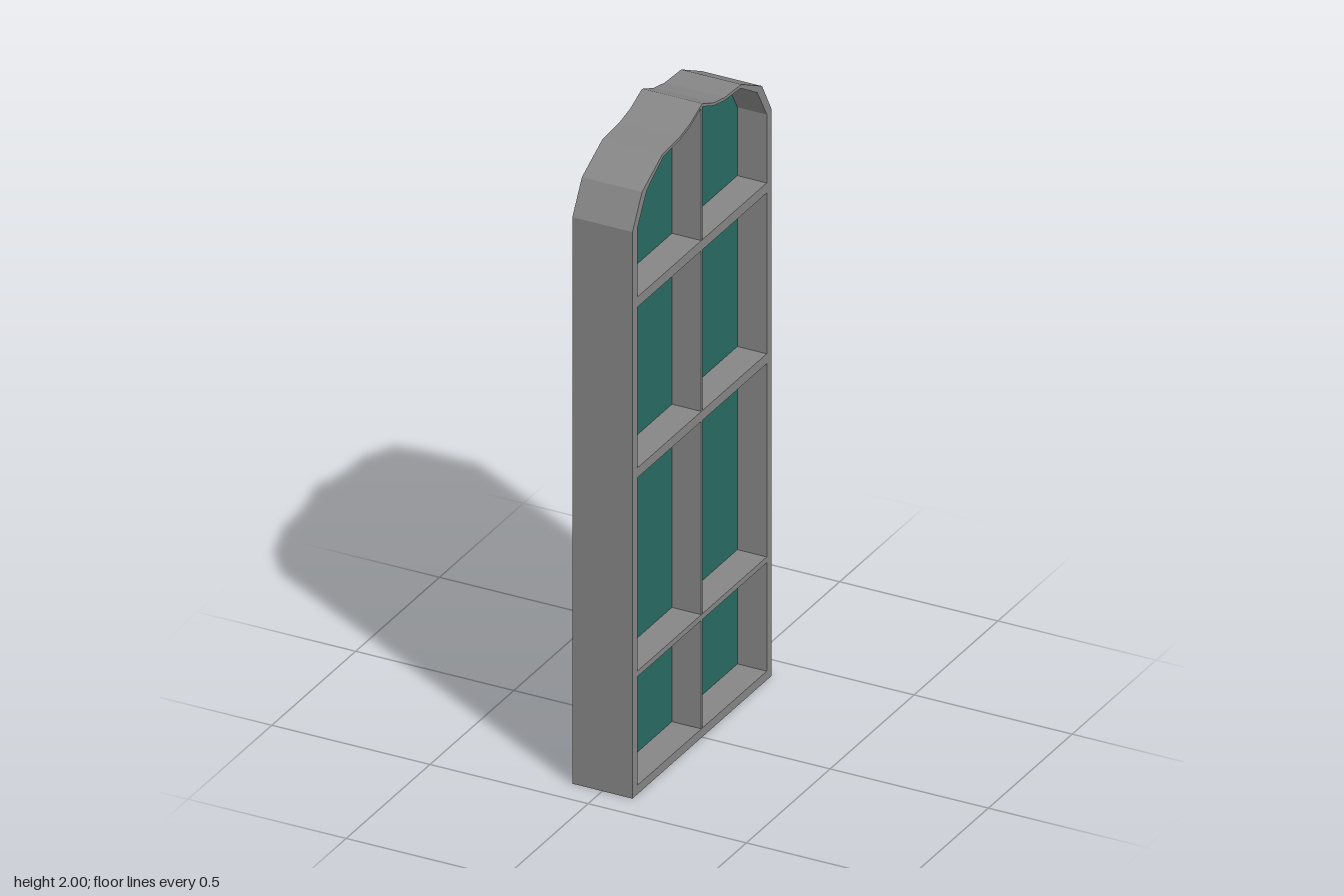
import * as THREE from 'three';

const DEPTH = 0.19;

// Half profiles of the arched top, from the centre peak to the spring line: [z, y]
const OUTER = [[0, 2], [0.006, 1.999], [0.07, 1.972], [0.135, 1.958], [0.235, 1.953], [0.358, 1.89], [0.415, 1.79]];
const INNER = [[0, 1.991], [0.006, 1.99], [0.07, 1.963], [0.135, 1.949], [0.23, 1.943], [0.33, 1.882], [0.386, 1.787]];

// Closed mirrored outline, straight down to the given bottom
function outline(half, bottom) {
  const w = half[half.length - 1][0];
  const right = [...half, [w, bottom]];
  const left = right.slice(1).reverse().map(([z, y]) => [-z, y]);
  return [...right, ...left].map(([z, y]) => new THREE.Vector2(z, y));
}

// Extrude a z-y outline along x, centred on x = 0
function slab(shape, depth) {
  const geometry = new THREE.ExtrudeGeometry(shape, { depth, bevelEnabled: false });
  return geometry.translate(0, 0, -depth / 2).rotateY(Math.PI / 2);
}

export function createModel() {
  const frameGrey = new THREE.MeshStandardMaterial({ color: 0x868686, flatShading: true });
  frameGrey.name = 'frame grey';
  const glassTeal = new THREE.MeshStandardMaterial({ color: 0x286a62, flatShading: true });
  glassTeal.name = 'glass teal';

  const model = new THREE.Group();
  model.name = 'archedWindow';
  function add(name, geometry, material) {
    const mesh = new THREE.Mesh(geometry, material);
    mesh.name = name;
    model.add(mesh);
    return mesh;
  }

  // Outer frame; the opening runs opposite to the outline so its walls face inwards
  const frame = new THREE.Shape(outline(OUTER, 0));
  frame.holes.push(new THREE.Path(outline(INNER, 0.028).reverse()));
  add('frame', slab(frame, DEPTH), frameGrey);

  // Glass pane in the middle of the depth
  add('glass', slab(new THREE.Shape(outline(INNER, 0.028)), 0.004), glassTeal);

  // Horizontal bars: [bottom, top]
  [[0.371, 0.389], [1.0, 1.031], [1.539, 1.571]].forEach(([low, high], i) => {
    const bar = add('crossBar' + (i + 1), new THREE.BoxGeometry(DEPTH, high - low, 0.774), frameGrey);
    bar.position.y = (low + high) / 2;
  });

  // Thin vertical divider
  const divider = add('verticalDivider', new THREE.BoxGeometry(DEPTH - 0.002, 1.965, 0.008), frameGrey);
  divider.position.y = 0.026 + 1.965 / 2;

  return model;
}
